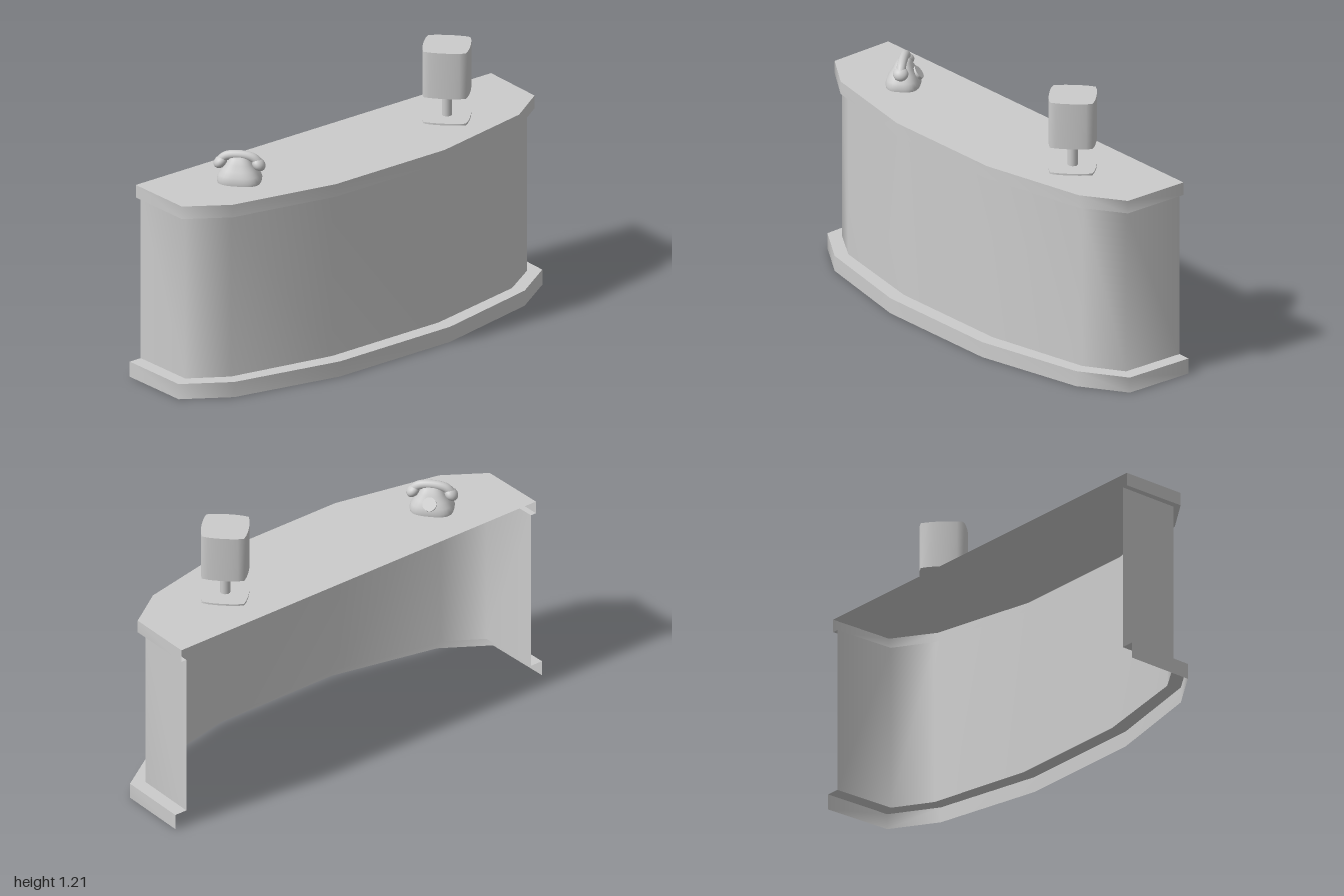
import * as THREE from 'three';
import { mergeVertices } from 'three/addons/utils/BufferGeometryUtils.js';

const grey = new THREE.MeshStandardMaterial({ color: 0xcccccc, side: THREE.DoubleSide });

function mesh(name, geometry, x = 0, y = 0, z = 0) {
  const m = new THREE.Mesh(geometry, grey);
  m.name = name;
  m.position.set(x, y, z);
  return m;
}

// Mirror half a plan outline [x, z] across z = 0, running from +z to -z
const mirrored = half => [...half, ...half.slice().reverse().map(([x, z]) => [x, -z])];

const bodyPlan = mirrored([[-0.28, 0.94], [0.01, 0.93], [0.115, 0.765], [0.21, 0.29]]);
const topPlan = mirrored([[-0.28, 0.967], [0.025, 0.96], [0.145, 0.78], [0.245, 0.295]]);
const basePlan = mirrored([[-0.28, 1], [0.04, 0.99], [0.17, 0.79], [0.277, 0.3]]);

// Sheet between a lower and an upper outline, smooth along its length
function strip(planA, yA, planB, yB) {
  const pos = [], index = [];
  planA.forEach(([x, z], i) => {
    pos.push(x, yA, z, planB[i][0], yB, planB[i][1]);
    if (i > 0) {
      const a = 2 * i - 2;
      index.push(a, a + 2, a + 1, a + 1, a + 2, a + 3);
    }
  });
  const g = new THREE.BufferGeometry();
  g.setAttribute('position', new THREE.Float32BufferAttribute(pos, 3));
  g.setIndex(index);
  g.computeVertexNormals();
  return g;
}

// Pull a round geometry's plan into a superellipse: p < 2 is a diamond, p > 2 a soft box
function squarePlan(g, p, depth = 1) {
  const pos = g.attributes.position;
  for (let i = 0; i < pos.count; i++) {
    const x = pos.getX(i), z = pos.getZ(i), r = Math.hypot(x, z);
    if (r < 1e-6) continue;
    const k = Math.pow(Math.pow(Math.abs(x / r), p) + Math.pow(Math.abs(z / r), p), -1 / p);
    pos.setX(i, x * k);
    pos.setZ(i, z * k * depth);
  }
  g.deleteAttribute('uv');
  return g;
}

function createDesk() {
  const desk = new THREE.Group();
  desk.name = 'desk';
  const top = new THREE.ShapeGeometry(new THREE.Shape(topPlan.map(([x, z]) => new THREE.Vector2(x, z))));
  top.rotateX(-Math.PI / 2);
  desk.add(
    mesh('frontPanel', strip(bodyPlan, 0.07, bodyPlan, 0.82)),
    mesh('baseTrim', strip(basePlan, 0, basePlan, 0.07)),
    mesh('baseLedge', strip(basePlan, 0.07, bodyPlan, 0.07)),
    mesh('topTrim', strip(topPlan, 0.82, topPlan, 0.878)),
    mesh('topTrimUnderside', strip(bodyPlan, 0.82, topPlan, 0.82)),
    mesh('deskTop', top, 0, 0.878, 0),
  );
  return desk;
}

function createLamp() {
  const lamp = new THREE.Group();
  lamp.name = 'lamp';
  const diamond = height => {
    const g = squarePlan(new THREE.CylinderGeometry(0.128, 0.128, height, 32), 1.2);
    const smooth = mergeVertices(g); // caps keep their own normals
    smooth.computeVertexNormals();
    return smooth;
  };
  lamp.add(
    mesh('lampBase', diamond(0.008), 0, 0.004, 0),
    mesh('lampPole', new THREE.CylinderGeometry(0.022, 0.022, 0.13, 16), 0, 0.07, 0),
    mesh('lampShade', diamond(0.21), 0, 0.227, 0),
  );
  lamp.position.set(-0.034, 0.878, -0.53);
  return lamp;
}

function createTelephone() {
  const phone = new THREE.Group();
  phone.name = 'telephone';

  // Body: soft box that tapers to a narrow cradle
  const profile = [[0.093, 0], [0.095, 0.015], [0.088, 0.035], [0.072, 0.058], [0.054, 0.082], [0.04, 0.105], [0.025, 0.112], [0, 0.114]];
  let body = new THREE.LatheGeometry(profile.map(([r, y]) => new THREE.Vector2(r, y)), 40);
  body = squarePlan(body, 3, 0.78);
  body.deleteAttribute('normal');
  body = mergeVertices(body, 1e-5);
  body.computeVertexNormals();
  phone.add(mesh('phoneBody', body));

  // Dial on the sloping face
  const dial = mesh('phoneDial', new THREE.CylinderGeometry(0.03, 0.03, 0.014, 28), 0, 0.055, 0.062);
  dial.rotation.x = THREE.MathUtils.degToRad(52);
  phone.add(dial);

  // Handset: arched grip with a rounded cup at each end
  const arch = new THREE.CatmullRomCurve3([[-0.09, 0.078], [-0.06, 0.108], [0, 0.118], [0.06, 0.108], [0.09, 0.078]]
    .map(([x, y]) => new THREE.Vector3(x, y, 0)));
  const handset = new THREE.Group();
  handset.name = 'handset';
  handset.add(mesh('handsetGrip', new THREE.TubeGeometry(arch, 24, 0.02, 14)));
  for (const s of [-1, 1]) {
    const cup = mesh('handsetCup', new THREE.SphereGeometry(1, 20, 14), s * 0.083, 0.08, 0);
    cup.scale.set(0.032, 0.025, 0.033);
    cup.rotation.z = s * -0.75;
    handset.add(cup);
  }
  phone.add(handset);

  phone.position.set(-0.045, 0.878, 0.59);
  phone.rotation.y = -2.43;
  return phone;
}

export function createModel() {
  const model = new THREE.Group();
  model.name = 'receptionDesk';
  model.add(createDesk(), createLamp(), createTelephone());
  return model;
}
